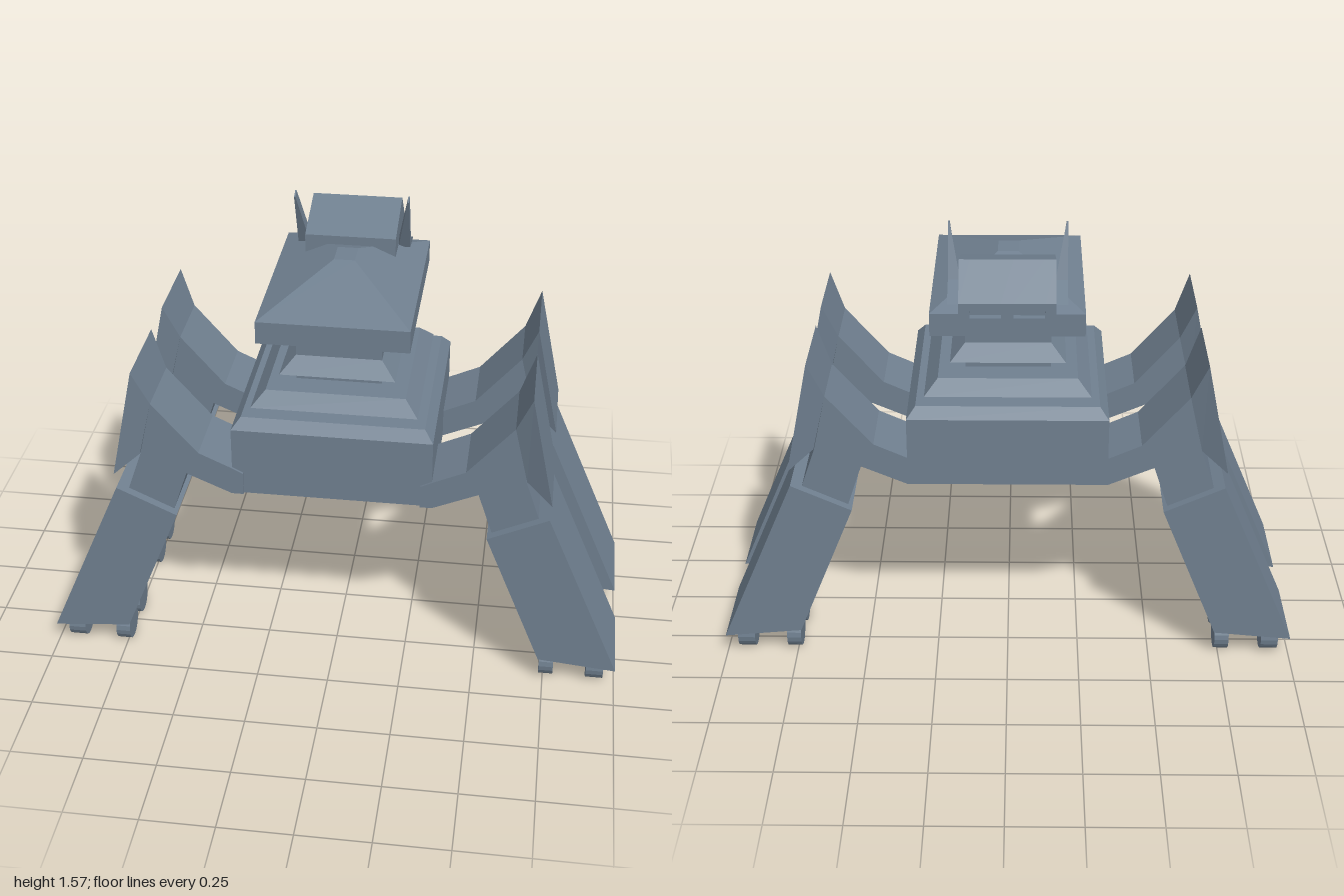
import * as THREE from 'three';

const armour = new THREE.MeshStandardMaterial({ color: 0x708090, flatShading: true });
armour.name = 'slateArmour';

function part(name, geometry, parent) {
  const mesh = new THREE.Mesh(geometry, armour);
  mesh.name = name;
  parent.add(mesh);
  return mesh;
}

// Stack of rectangles, each [y, half width, back z, front z], joined and capped
function stack(sections) {
  const rings = sections.map(([y, w, zb, zf]) =>
    [[-w, y, zf], [w, y, zf], [w, y, zb], [-w, y, zb]]);
  const pos = [];
  const quad = (a, b, c, d) => pos.push(...a, ...b, ...c, ...a, ...c, ...d);
  for (let k = 0; k < rings.length - 1; k++) {
    const lo = rings[k], hi = rings[k + 1];
    for (let i = 0; i < 4; i++) {
      const j = (i + 1) % 4;
      quad(lo[i], lo[j], hi[j], hi[i]);
    }
  }
  const bottom = rings[0], top = rings[rings.length - 1];
  quad(top[0], top[1], top[2], top[3]);
  quad(bottom[3], bottom[2], bottom[1], bottom[0]);
  const g = new THREE.BufferGeometry();
  g.setAttribute('position', new THREE.Float32BufferAttribute(pos, 3));
  g.computeVertexNormals();
  return g;
}

// Rectangle section of the tiered hull, slightly longer than wide
const tier = (y, w) => [y, w, 0.022 - w - 0.015, 0.022 + w + 0.015];

// Polygon in x,y extruded along z and centred on z = 0
function prism(points, depth) {
  const shape = new THREE.Shape(points.map(([x, y]) => new THREE.Vector2(x, y)));
  return new THREE.ExtrudeGeometry(shape, { depth, bevelEnabled: false })
    .translate(0, 0, -depth / 2);
}

// Polygon in z,y extruded along x
const sidePrism = (points, width) => prism(points, width).rotateY(-Math.PI / 2);

// Move vertices by a rule
function reshape(g, rule) {
  const p = g.attributes.position;
  const v = new THREE.Vector3();
  for (let i = 0; i < p.count; i++) {
    rule(v.fromBufferAttribute(p, i));
    p.setXYZ(i, v.x, v.y, v.z);
  }
  g.computeVertexNormals();
  return g;
}

// One leg reaching towards +x
function makeLeg() {
  const leg = new THREE.Group();
  part('thigh', prism([[0.3, 0.77], [0.34, 0.79], [0.45, 0.84], [0.605, 1.02], [0.65, 0.82],
    [0.705, 0.66], [0.55, 0.59], [0.495, 0.755], [0.34, 0.688], [0.3, 0.688]], 0.245), leg);

  // Knee shield, narrower on its inner side
  const shield = prism([[0.657, 1.15], [0.605, 1.02], [0.652, 0.82], [0.74, 0.75]], 0.305);
  part('kneeShield', reshape(shield, v => { if (v.x < 0.655) v.z *= 0.8; }), leg);

  part('shin', prism([[0.735, 0.695], [0.53, 0.6], [0.73, 0.105], [1.0, 0.08]], 0.307), leg);

  // Four foot wheels
  for (const [x, w] of [[0.76, 0.05], [0.93, 0.06]]) {
    for (const z of [-0.077, 0.077]) {
      const wheel = new THREE.CylinderGeometry(0.06, 0.06, w, 20).rotateZ(Math.PI / 2);
      part('footWheel', wheel, leg).position.set(x, 0.061, z);
    }
  }
  return leg;
}

function makeHead() {
  const head = new THREE.Group();
  head.name = 'head';
  const front = [[-0.41, 1.317], [-0.2, 1.355], [-0.108, 1.37], [-0.108, 1.437], [-0.308, 1.502], [-0.41, 1.393]];
  const slot = [[-0.41, 1.368], [-0.385, 1.368], [-0.385, 1.343], [-0.41, 1.343]];

  // Side by side slices, two of them notched to leave slots in the back face
  const cuts = [-0.155, -0.12, -0.02, 0.02, 0.12, 0.155];
  for (let i = 0; i < 5; i++) {
    const outline = i % 2 ? [...front, ...slot] : front;
    const slice = part('headSlice', sidePrism(outline, cuts[i + 1] - cuts[i]), head);
    slice.position.x = (cuts[i] + cuts[i + 1]) / 2;
  }

  // Swept ear fins, thin at the tip
  for (const s of [-1, 1]) {
    const ear = sidePrism([[-0.13, 1.563], [-0.158, 1.575], [-0.225, 1.396],
      [-0.32, 1.35], [-0.21, 1.362]], 0.04).translate(s * 0.175, 0, 0);
    part('earFin', reshape(ear, v => {
      if (v.y > 1.5 && Math.abs(v.x) < 0.17) v.x = s * 0.19;
    }), head);
  }
  return head;
}

export function createModel() {
  const model = new THREE.Group();
  model.name = 'walker';

  // Hull with tapered belly and sloped rim
  part('hull', stack([[0.585, 0.1, -0.09, 0.13], tier(0.69, 0.338), tier(0.935, 0.338),
    tier(0.972, 0.308)]), model);

  // Stepped tiers and neck
  part('lowerTier', stack([tier(0.972, 0.235), tier(0.992, 0.28), tier(1.04, 0.235)]), model);
  part('upperTier', stack([tier(1.065, 0.15), tier(1.078, 0.195), tier(1.13, 0.145)]), model);
  part('neck', stack([tier(1.03, 0.145), tier(1.22, 0.145)]), model);

  // Turret with a pitched roof
  part('turret', stack([[1.213, 0.15, -0.135, 0.188], [1.25, 0.252, -0.345, 0.337],
    [1.328, 0.252, -0.345, 0.337], [1.425, 0.035, -0.05, 0.045]]), model);

  model.add(makeHead());

  // Two legs on each side
  for (const [row, z] of [['front', 0.26], ['back', -0.205]]) {
    for (const side of ['Left', 'Right']) {
      const leg = makeLeg();
      leg.name = row + side + 'Leg';
      leg.position.z = z;
      if (side === 'Right') leg.rotation.y = Math.PI;
      model.add(leg);
    }
  }
  return model;
}
